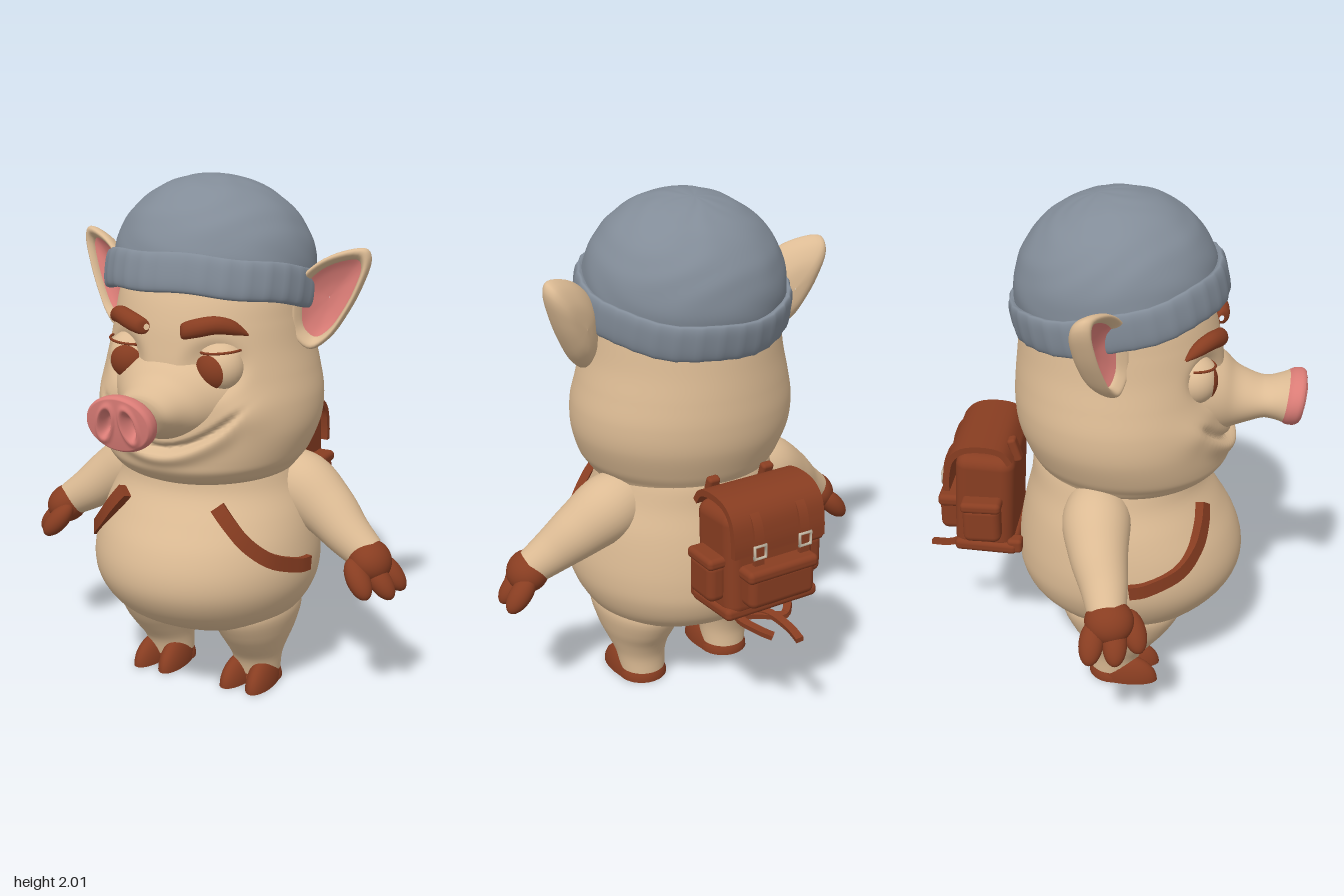
import * as THREE from 'three';
import { toCreasedNormals } from 'three/addons/utils/BufferGeometryUtils.js';
import { RoundedBoxGeometry } from 'three/addons/geometries/RoundedBoxGeometry.js';

const { sin, cos, sqrt, exp, abs, PI, min, max, floor } = Math;
const V = (x, y, z) => new THREE.Vector3(x, y, z);

// Smooth interpolation through rows of numbers, t from 0 to 1
function sample(rows, t) {
  const k = t * (rows.length - 1), i = max(0, min(floor(k), rows.length - 2)), f = k - i;
  const row = n => rows[max(0, min(rows.length - 1, i + n))];
  return rows[0].map((_, c) => {
    const [a, b, d, e] = [-1, 0, 1, 2].map(n => row(n)[c]);
    return b + 0.5 * f * (d - a + f * (2 * a - 5 * b + 4 * d - e + f * (3 * (b - d) + e - a)));
  });
}

// Surface of closed rings; at(u, angle) gives each point
function loft(rows, cols, at) {
  const pos = [], index = [];
  for (let i = 0; i <= rows; i++) for (let j = 0; j < cols; j++) {
    pos.push(...at(i / rows, j / cols * PI * 2).toArray());
    if (i === rows) continue;
    const a = i * cols + j, b = i * cols + (j + 1) % cols;
    index.push(a, b, b + cols, a, b + cols, a + cols);
  }
  const g = new THREE.BufferGeometry();
  g.setAttribute('position', new THREE.Float32BufferAttribute(pos, 3));
  g.setIndex(index);
  g.computeVertexNormals();
  return g;
}

// Upright rounded form from rows of [y, halfWidth, front, back]
const upright = (table, rows, cols, tweak = p => p) => loft(rows, cols, (u, a) => {
  const [y, w, f, b] = sample(table, u);
  return tweak(V(w * sin(a), y, (f + b) / 2 + (f - b) / 2 * cos(a)));
});

// Flat strap along points, lying on a form seen from out(p)
function ribbon(pts, out, w, h, n = 24) {
  const P3 = t => V(...sample(pts, t));
  const g = loft(n + 2, 4, (u, a) => {
    const i = Math.round(u * (n + 2)), t = max(0, min(1, (i - 1) / n)), s = i === 0 || i === n + 2 ? 0 : 1;
    const p = P3(t), T = P3(min(1, t + 0.01)).sub(P3(max(0, t - 0.01))).normalize();
    const P = out(p).cross(T).normalize(), Q = T.clone().cross(P);
    const x = [1, -1, -1, 1], y = [1, 1, -1, -1], j = Math.round(a / (PI / 2));
    return p.addScaledVector(P, x[j] * s * w / 2).addScaledVector(Q, y[j] * s * h / 2);
  });
  return toCreasedNormals(g, 0.7);
}

export function createModel() {
  const model = new THREE.Group();
  const mat = (name, color) => Object.assign(new THREE.MeshStandardMaterial({ color }), { name });
  const skin = mat('skin', 0xdcbb94), brown = mat('brown leather', 0x883d21), pink = mat('pink', 0xda7c76);
  const wool = mat('grey wool', 0x828c98), metal = mat('buckle metal', 0xc9bda8);

  function add(name, geo, material, pos = [0, 0, 0], rot = [0, 0, 0], scale = [1, 1, 1]) {
    const m = new THREE.Mesh(geo, material);
    m.name = name;
    m.position.set(...pos); m.rotation.set(...rot); m.scale.set(...scale);
    model.add(m);
    return m;
  }
  // Adds a part on the left (+x) and its mirror image on the right
  function pair(name, ...args) {
    const m = add(name + 'Left', ...args);
    m.updateMatrix();
    const g = m.geometry.clone().applyMatrix4(m.matrix).scale(-1, 1, 1);
    const idx = g.index ? [...g.index.array] : [...Array(g.attributes.position.count).keys()];
    for (let i = 0; i < idx.length; i += 3) [idx[i + 1], idx[i + 2]] = [idx[i + 2], idx[i + 1]];
    g.setIndex(idx);
    add(name + 'Right', g, m.material);
  }
  const ball = new THREE.SphereGeometry(1, 28, 20);

  // Torso
  add('torso', upright([[0.245, 0.01, 0.07, 0.05], [0.255, 0.2, 0.24, -0.08], [0.3, 0.32, 0.36, -0.21], [0.37, 0.39, 0.46, -0.32],
    [0.46, 0.435, 0.52, -0.365], [0.55, 0.447, 0.53, -0.37], [0.65, 0.435, 0.5, -0.36], [0.75, 0.41, 0.44, -0.34],
    [0.85, 0.37, 0.38, -0.315], [0.95, 0.34, 0.36, -0.3], [1.02, 0.3, 0.3, -0.26]], 50, 64), skin);

  // Head with eye sockets, smile crease and lower lip
  const carve = p => {
    if (p.z < 0.1) return p;
    const ax = abs(p.x), eye = ((ax - 0.185) ** 2 + (p.y - 1.345) ** 2) / 0.0085;
    p.z -= 0.035 * exp(-eye * eye);
    const d = (p.y - 1.05 - 1.75 * p.x * p.x) / sqrt(1 + (3.5 * p.x) ** 2);
    const fade = 1 / (1 + exp((ax - 0.275) / 0.012));
    p.z += fade * (0.022 * exp(-(((d + 0.035) / 0.03) ** 2)) - 0.036 * exp(-((d / 0.013) ** 2)));
    p.z += 0.02 * exp(-((ax - 0.31) ** 2 + (p.y - 1.18) ** 2) / 0.004);
    return p;
  };
  add('head', upright([[0.86, 0.01, 0.06, 0.04], [0.87, 0.2, 0.28, -0.18], [0.9, 0.325, 0.395, -0.27], [0.95, 0.372, 0.455, -0.3],
    [1.0, 0.402, 0.468, -0.325], [1.1, 0.434, 0.468, -0.36], [1.2, 0.436, 0.456, -0.37], [1.3, 0.415, 0.44, -0.365],
    [1.4, 0.39, 0.425, -0.355], [1.5, 0.373, 0.405, -0.345], [1.6, 0.355, 0.37, -0.33], [1.7, 0.3, 0.31, -0.27],
    [1.8, 0.02, 0.05, 0.03]], 144, 128, carve), skin);

  // Snout, flaring into the face, rows of [z, y, rx, ry]
  const lean = p => { p.z += p.z > 0.6 ? 0.15 * (p.y - 1.205) : 0; return p; };
  const snout = [[0.34, 1.23, 0.26, 0.18], [0.43, 1.22, 0.185, 0.145], [0.48, 1.205, 0.145, 0.115], [0.53, 1.2, 0.122, 0.094],
    [0.59, 1.2, 0.108, 0.075], [0.64, 1.203, 0.113, 0.084], [0.675, 1.205, 0.125, 0.096]];
  add('snout', loft(30, 48, (u, a) => {
    const [z, y, rx, ry] = sample(snout, u);
    return lean(V(rx * cos(a), y + ry * sin(a), z));
  }), skin);
  // Nose disc with two pressed-in nostrils
  const rim = [[0.672, 0.124, 0.095], [0.69, 0.133, 0.103], [0.718, 0.134, 0.104], [0.733, 0.125, 0.096]];
  add('nose', loft(44, 72, (u, a) => {
    const [z, rx, ry] = sample(rim, min(1, u / 0.25)), s = u < 0.25 ? 1 : max(0.002, (1 - u) / 0.75);
    const p = V(rx * s * cos(a), 1.205 + ry * s * sin(a), z + 0.006 * (1 - s * s));
    const dy = p.y - 1.205, n = ((abs(p.x) - 0.048 + 0.2 * dy) / 0.022) ** 2 + (dy / 0.044) ** 2;
    if (u > 0.25) p.z -= 0.04 * exp(-n * n) - 0.008 * exp(-((n - 2) ** 2));
    return lean(p);
  }), pink);

  // Eyes with lids and brows
  const eyeAt = [0.185, 1.345, 0.322];
  pair('eyeball', ball, skin, eyeAt, [0, 0, 0], [0.09, 0.09, 0.09]);
  pair('iris', new THREE.SphereGeometry(0.093, 32, 10, 0, PI * 2, 0, 0.76), brown, eyeAt, [PI / 2 + 0.1, 0, 0.17]);
  pair('upperLid', new THREE.SphereGeometry(0.101, 32, 10, 0, PI * 2, 0, 0.85), skin, eyeAt, [0.05, 0, -0.1]);
  pair('lowerLid', new THREE.SphereGeometry(0.099, 32, 10, 0, PI * 2, 0, 0.7), skin, eyeAt, [PI, 0, 0.1]);
  pair('lash', new THREE.TorusGeometry(0.0775, 0.005, 6, 32, PI), brown, [0.192, 1.411, 0.326], [PI / 2, 0.1, 0]);
  const brow = [[0.07, 1.485, 0.415, 0.012], [0.085, 1.487, 0.42, 0.03], [0.14, 1.502, 0.41, 0.035], [0.2, 1.512, 0.38, 0.033],
    [0.25, 1.498, 0.335, 0.026], [0.285, 1.47, 0.295, 0.004]];
  pair('eyebrow', loft(24, 16, (u, a) => {
    const [x, y, z, r] = sample(brow, u);
    return V(x + 0.5 * r * sin(a), y + r * cos(a), z + 0.8 * r * sin(a));
  }), brown);

  // Ears: outline scaled in layers [scale, depth]
  const outline = new THREE.CatmullRomCurve3([[0.36, 1.52], [0.37, 1.43], [0.42, 1.385], [0.48, 1.425], [0.54, 1.52], [0.585, 1.62],
    [0.612, 1.72], [0.597, 1.756], [0.5, 1.74], [0.42, 1.69], [0.37, 1.62]].map(([x, y]) => V(x, y, 0)), true);
  const ear = layers => loft((layers.length - 1) * 4, 48, (u, a) => {
    const [s, dz] = sample(layers, u), p = outline.getPoint(a / (2 * PI)), c = V(0.46, 1.57, 0);
    p.sub(c).multiplyScalar(s).add(c);
    p.z = 0.08 - 0.45 * (p.x - 0.37) + dz;
    return p;
  });
  pair('ear', ear([[0.01, -0.105], [0.5, -0.095], [0.85, -0.06], [1, -0.015], [0.985, 0.012], [0.9, 0.015], [0.8, -0.005], [0.77, -0.022]]), skin);
  pair('innerEar', ear([[0.78, -0.018], [0.6, -0.035], [0.3, -0.05], [0.01, -0.055]]), pink);

  // Knitted hat, tipped back
  const hatAt = [0, 1.61, 0.03], tip = [-0.21, 0, 0];
  add('hatCrown', loft(40, 96, (u, a) => {
    const t = (u * 1.15 - 0.15) * PI / 2, c = max(0.002, t < 0 ? 1 : cos(t));
    const bump = 1 + 0.006 * sin(5 * a + 2 * sin(6 * t)) * sin(9 * t + 2 * cos(3 * a)) * min(1, 3 * c);
    return V(0.388 * c * sin(a) * bump, 0.05 + (t < 0 ? t * 0.4 : 0.343 * sin(t)) * bump, 0.385 * c * cos(a) * bump);
  }), wool, hatAt, tip);
  const cuff = [[0.36, -0.055], [0.385, -0.072], [0.404, -0.066], [0.412, -0.03], [0.412, 0.03], [0.406, 0.062], [0.395, 0.072], [0.375, 0.06]];
  add('hatCuff', loft(28, 160, (u, a) => {
    const [r, y] = sample(cuff, u), k = r + 0.004 * max(0, cos(32 * a)) * (r > 0.39 ? 1 : 0);
    return V(k * sin(a), y + 0.004 * sin(7 * a), k * cos(a));
  }), wool, hatAt, tip);

  // Arms and hoofed hands
  const arm = [[0.24, 0.87, -0.02, 0.1], [0.36, 0.825, -0.02, 0.13], [0.48, 0.75, 0, 0.112], [0.58, 0.675, 0.03, 0.09], [0.67, 0.615, 0.05, 0.072]];
  pair('arm', loft(24, 32, (u, a) => {
    const [x, y, z, r] = sample(arm, u), p = V(x, y, z);
    const T = V(...sample(arm, min(1, u + 0.02))).sub(V(...sample(arm, max(0, u - 0.02)))).normalize();
    const P = V(0, 0, 1).cross(T).normalize(), Q = T.clone().cross(P);
    return p.addScaledVector(P, r * cos(a)).addScaledVector(Q, r * sin(a));
  }), skin);
  pair('palm', ball, brown, [0.685, 0.597, 0.06], [0, 0, -0.75], [0.085, 0.077, 0.092]);
  [[0.745, 0.54, 0.0, 0.1], [0.735, 0.535, 0.085, -0.1], [0.675, 0.55, 0.15, -0.5]].forEach(([x, y, z, yaw], i) =>
    pair('finger' + (i + 1), ball, brown, [x, y, z], [0, yaw, -0.85], [0.085, 0.042, 0.046]));

  // Legs and cloven feet
  pair('leg', loft(20, 40, (u, a) => {
    const [y, x, z, rx, rz] = sample([[0.04, 0.2, 0.03, 0.092, 0.095], [0.11, 0.203, 0.04, 0.1, 0.108], [0.18, 0.208, 0.055, 0.122, 0.15],
      [0.25, 0.21, 0.06, 0.147, 0.2], [0.34, 0.205, 0.065, 0.17, 0.24], [0.42, 0.2, 0.065, 0.15, 0.2]], u);
    return V(x + rx * sin(a), y, z + rz * cos(a));
  }), skin);
  const dome = (w, h, d) => {
    const g = new THREE.SphereGeometry(1, 28, 20), p = g.attributes.position;
    for (let i = 0; i < p.count; i++) p.setY(i, max(0, p.getY(i)));
    return g.scale(w, h, d);
  };
  pair('heel', dome(0.1, 0.085, 0.1), brown, [0.2, 0, 0.03]);
  for (const s of [-1, 1]) pair(s < 0 ? 'innerToe' : 'outerToe', dome(0.055, 0.105, 0.135), brown, [0.2 + s * 0.05, 0, 0.08], [0, s * 0.08, 0]);

  // Chest straps
  pair('chestStrap', ribbon([[0.2, 0.825, 0.375], [0.25, 0.765, 0.375], [0.31, 0.69, 0.355], [0.38, 0.62, 0.295], [0.435, 0.575, 0.18], [0.45, 0.565, 0.11]],
    p => V(p.x, 0, p.z - 0.06), 0.055, 0.035), brown);

  // Backpack
  const box = (w, h, d, r) => new RoundedBoxGeometry(w, h, d, 4, r);
  add('bagBody', box(0.39, 0.42, 0.235, 0.05), brown, [0, 0.755, -0.487], [0.05, 0, 0]);
  add('bagBase', box(0.41, 0.05, 0.25, 0.02), brown, [0, 0.565, -0.485], [0.05, 0, 0]);
  const fromBag = p => V(0, p.y - 0.8, p.z + 0.49);
  add('bagFlap', ribbon([[0, 0.95, -0.375], [0, 0.995, -0.41], [0, 1.01, -0.48], [0, 1.0, -0.56], [0, 0.955, -0.61], [0, 0.88, -0.628], [0, 0.82, -0.63]],
    fromBag, 0.4, 0.025), brown);
  add('bagPocket', box(0.29, 0.14, 0.1, 0.03), brown, [0, 0.675, -0.625]);
  add('bagPocketFlap', box(0.31, 0.05, 0.11, 0.02), brown, [0, 0.74, -0.625]);
  pair('sidePocket', box(0.08, 0.16, 0.15, 0.03), brown, [0.215, 0.695, -0.49]);
  pair('sidePocketFlap', box(0.09, 0.045, 0.16, 0.018), brown, [0.215, 0.775, -0.49]);
  pair('bagStrap', ribbon([[0.1, 0.995, -0.57], [0.1, 0.95, -0.622], [0.1, 0.88, -0.645], [0.1, 0.78, -0.648]], fromBag, 0.04, 0.018), brown);
  pair('buckle', new THREE.TorusGeometry(0.034, 0.007, 6, 4).rotateZ(PI / 4), metal, [0.1, 0.835, -0.658]);
  pair('shoulderTab', box(0.05, 0.1, 0.035, 0.012), brown, [0.12, 0.98, -0.365], [-0.3, 0, 0]);
  pair('lowerTab', box(0.06, 0.06, 0.06, 0.015), brown, [0.17, 0.57, -0.37]);

  // Loose strap ends under the bag
  [[[0.1, 0.55, -0.4], [0.06, 0.48, -0.46], [0.0, 0.51, -0.56], [-0.04, 0.48, -0.65], [-0.03, 0.47, -0.74]],
    [[-0.1, 0.55, -0.56], [-0.06, 0.5, -0.6], [0.02, 0.5, -0.55], [0.05, 0.46, -0.46], [0.03, 0.45, -0.38]],
    [[0.08, 0.55, -0.46], [0.1, 0.5, -0.53], [0.06, 0.47, -0.6], [0.02, 0.45, -0.64]]].forEach((pts, i) =>
    add('looseStrap' + (i + 1), ribbon(pts, () => V(0.2, 1, 0), 0.03, 0.02), brown));

  return model;
}
